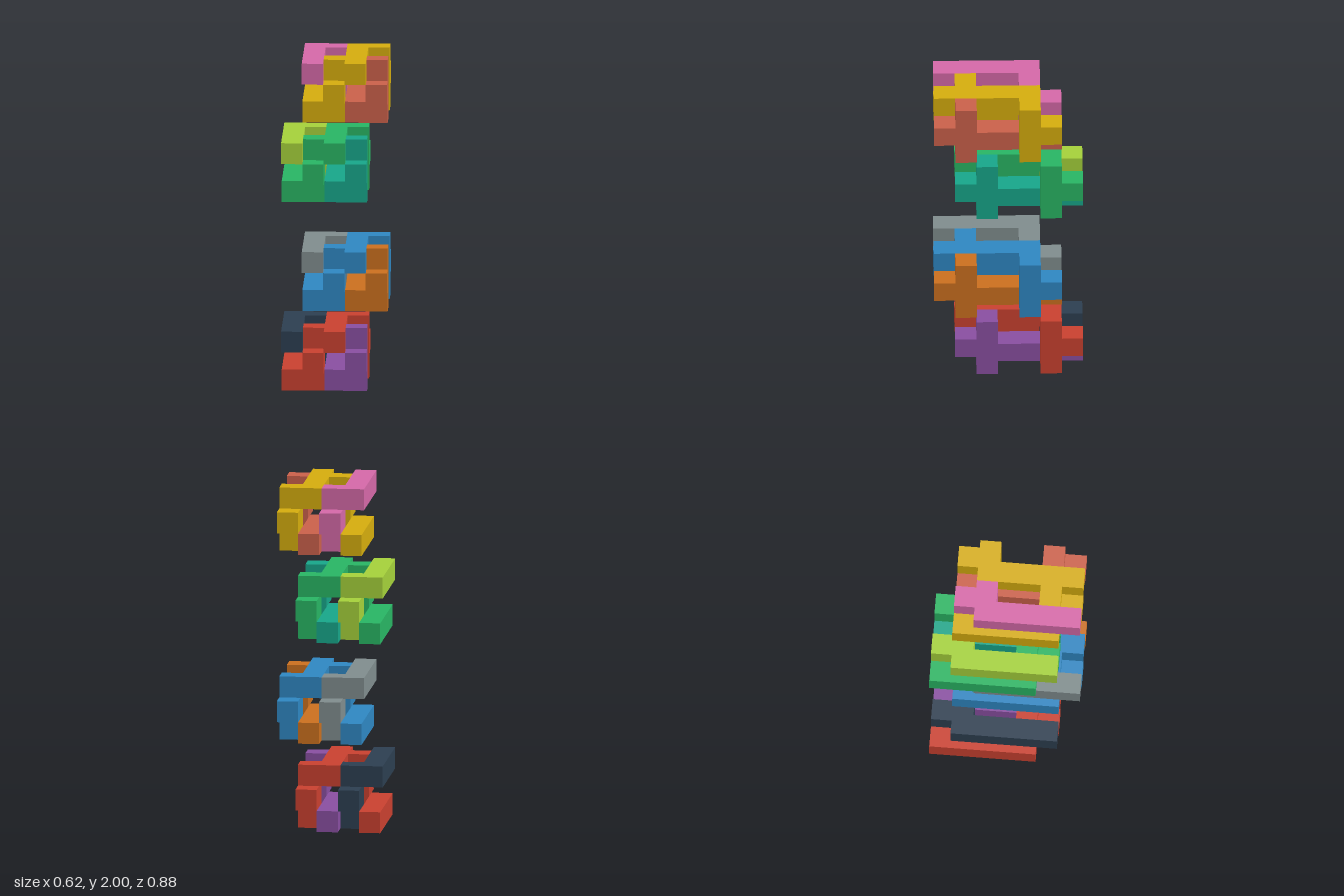
import * as THREE from 'three';
import { mergeGeometries } from 'three/addons/utils/BufferGeometryUtils.js';

const U = 0.125; // one cube of the puzzle grid

// Block filling grid cells from (i, j, k), with size (w, h, d) in cells
function block(i, j, k, w, h, d) {
  return new THREE.BoxGeometry(w * U, h * U, d * U)
    .translate((i + w / 2) * U, (j + h / 2) * U, (k + d / 2) * U);
}

// Long bar running front to back; upper bars sit one cell further forward
const bar = (i, j) => [block(i, j, j === 2 ? 1 : 0, 1, 1, 5)];

// Upright post with a stub cube at mid height, facing outward
const post = (i, k) => [
  block(i, 0, k, 1, 3, 1),
  block(i, 1, k === 4 ? 5 : 0, 1, 1, 1),
];

// The three interlocking pieces of one puzzle
const pieces = {
  leftHook: () => [...bar(0, 2), ...post(1, 1)],
  centrePiece: () => [...bar(2, 2), ...bar(0, 0), ...post(1, 4), ...post(3, 1)],
  rightHook: () => [...bar(2, 0), ...post(3, 4)],
};

// Stacked puzzles, alternately shifted by one cell: height, x, z, piece colours
const layers = [
  { name: 'bottomPuzzle', y: 0, x: -2.5, z: -3.5, colors: [0x2c3e50, 0xc8402f, 0x884ea0] },
  { name: 'lowerMiddlePuzzle', y: 4, x: -1.5, z: -2.5, colors: [0x7f8c8d, 0x2e86c1, 0xca6f1e] },
  { name: 'upperMiddlePuzzle', y: 9, x: -2.5, z: -3.5, colors: [0xa4d03a, 0x28b463, 0x17a589] },
  { name: 'topPuzzle', y: 13, x: -1.5, z: -2.5, colors: [0xd468a7, 0xd4ac0d, 0xc9604a] },
];

export function createModel() {
  const model = new THREE.Group();
  model.name = 'stackedBurrPuzzles';
  for (const { name, x, y, z, colors } of layers) {
    const puzzle = new THREE.Group();
    puzzle.name = name;
    puzzle.position.set(x * U, y * U, z * U);
    Object.entries(pieces).forEach(([pieceName, build], n) => {
      const mesh = new THREE.Mesh(
        mergeGeometries(build()),
        new THREE.MeshStandardMaterial({ color: colors[n] })
      );
      mesh.name = pieceName;
      puzzle.add(mesh);
    });
    model.add(puzzle);
  }
  return model;
}
